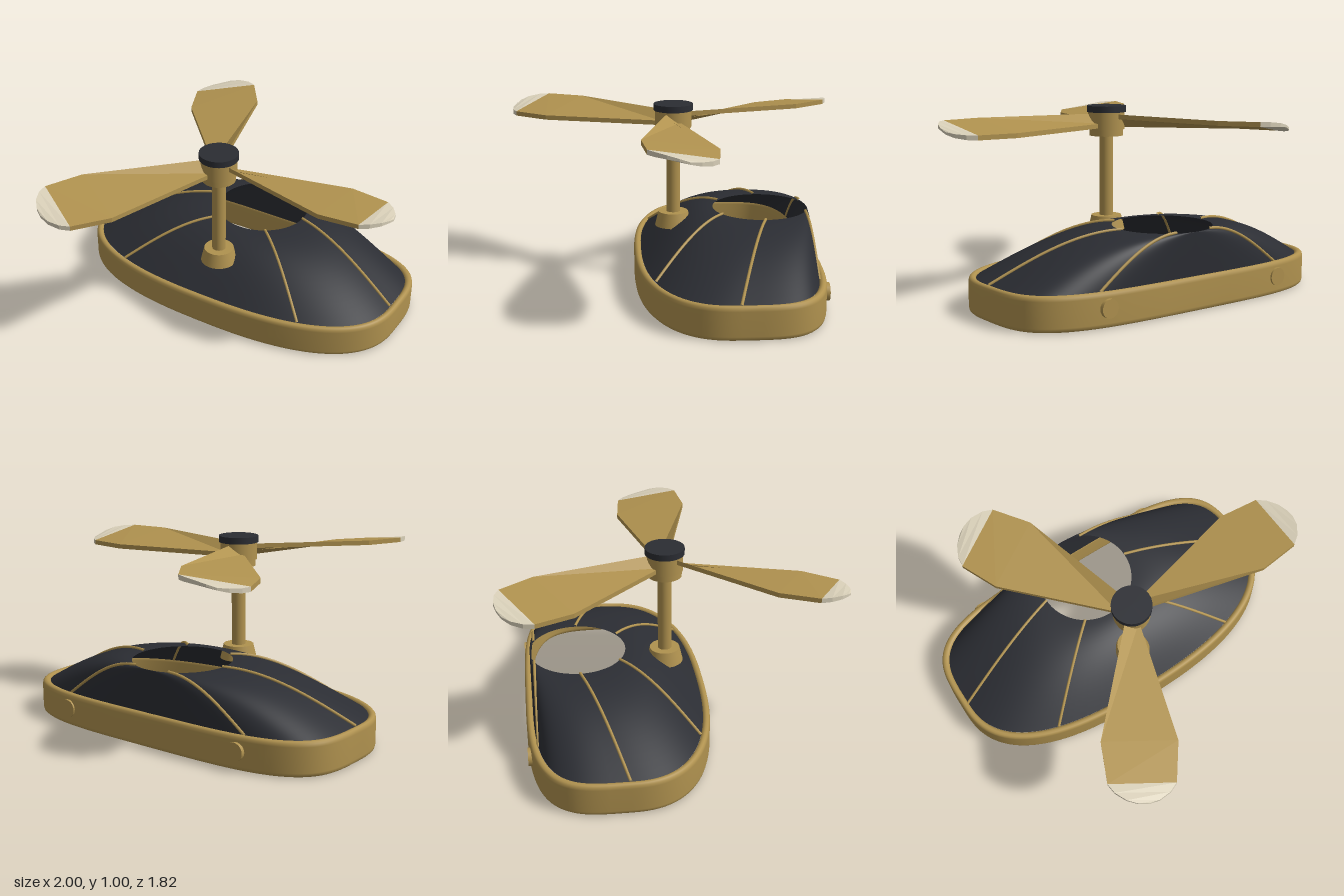
import * as THREE from 'three';

const AXIS_X = -0.02, CENTRE_Z = -0.285;
const gold = new THREE.MeshStandardMaterial({ color: 0xb0924f });
const goldFlat = new THREE.MeshStandardMaterial({ color: 0xb0924f, flatShading: true });
const ivoryFlat = new THREE.MeshStandardMaterial({ color: 0xd8cfb8, flatShading: true });
const dark = new THREE.MeshStandardMaterial({ color: 0x2b2d33 });
const darkShell = new THREE.MeshStandardMaterial({ color: 0x2b2d33, side: THREE.DoubleSide });

// Surface closed around u, running along v; point(i, j) returns [x, y, z]
function loopSurface(nu, nv, point) {
  const pos = [], idx = [];
  for (let j = 0; j < nv; j++) for (let i = 0; i < nu; i++) pos.push(...point(i, j));
  for (let j = 0; j < nv - 1; j++) {
    for (let i = 0; i < nu; i++) {
      const k = (i + 1) % nu;
      const a = j * nu + i, b = a + nu, c = j * nu + k, d = c + nu;
      idx.push(a, b, c, c, b, d);
    }
  }
  const g = new THREE.BufferGeometry();
  g.setAttribute('position', new THREE.Float32BufferAttribute(pos, 3));
  g.setIndex(idx);
  g.computeVertexNormals();
  return g;
}

// Rounded plan of the base: soft curve in front (+z), squarer at the back
function outline(angle, inset) {
  const c = Math.cos(angle), s = Math.sin(angle);
  const e = 2 / (s > 0 ? 2.5 : 3.8);
  return [
    AXIS_X + (0.98 - inset) * Math.sign(c) * Math.abs(c) ** e,
    CENTRE_Z + (0.505 - inset) * Math.sign(s) * Math.abs(s) ** e,
  ];
}

// Dome surface: t = 0 on the base ring, t = 1 on the round opening
function domePoint(angle, t) {
  const [x, z] = outline(angle, 0.038);
  const hx = AXIS_X + 0.265 * Math.cos(angle), hz = -0.487 + 0.265 * Math.sin(angle);
  return [x + (hx - x) * t, 0.17 + 0.235 * Math.sin(t * Math.PI / 2), z + (hz - z) * t];
}

// Stations are [distance, back edge z, front edge z, pitch, half thickness]
function bladeGeometry(stations) {
  const ends = [stations[0], ...stations, stations[stations.length - 1]];
  return loopSurface(4, ends.length, (i, j) => {
    const [x, z0, z1, pitch, h] = ends[j];
    const capped = j === 0 || j === ends.length - 1;
    if (capped) return [x, 0, (z0 + z1) / 2];
    const front = i === 0 || i === 3;
    return [x, (front ? pitch : -pitch) + (i < 2 ? h : -h), front ? z1 : z0];
  });
}

export function createModel() {
  const model = new THREE.Group();
  const add = (name, geometry, material, parent = model) => {
    const mesh = new THREE.Mesh(geometry, material);
    mesh.name = name;
    parent.add(mesh);
    return mesh;
  };
  const turned = (name, rTop, rBottom, y0, y1, material) => {
    const mesh = add(name, new THREE.CylinderGeometry(rTop, rBottom, y1 - y0, 32), material);
    mesh.position.set(AXIS_X, (y0 + y1) / 2, 0);
    return mesh;
  };

  // Base ring with eased edges
  const ring = [
    [0.02, 0], [0.01, 0.003], [0.003, 0.01], [0, 0.025], [0, 0.155], [0.003, 0.17], [0.01, 0.178],
    [0.02, 0.181], [0.03, 0.178], [0.037, 0.17], [0.04, 0.155], [0.04, 0.025], [0.037, 0.01], [0.03, 0.003], [0.02, 0],
  ];
  const around = 120;
  add('baseRing', loopSurface(around, ring.length, (i, j) => {
    const [x, z] = outline(i / around * Math.PI * 2, ring[j][0]);
    return [x, ring[j][1], z];
  }), gold);

  // Dome shell with an open top
  add('domeShell', loopSurface(around, 17, (i, j) => domePoint(i / around * Math.PI * 2, j / 16)), darkShell);

  // Ribs over the dome
  for (const degrees of [0, 57, 123, 180, -66, -114]) {
    const points = [];
    for (let k = 0; k <= 8; k++) {
      const p = new THREE.Vector3(...domePoint(degrees * Math.PI / 180, k / 8));
      p.y += 0.004;
      points.push(p);
    }
    add('rib', new THREE.TubeGeometry(new THREE.CatmullRomCurve3(points), 24, 0.008, 8), gold);
  }

  // Studs on the back of the ring
  for (const side of [-1, 1]) {
    const stud = add('backStud', new THREE.CylinderGeometry(0.048, 0.048, 0.03, 24), gold);
    stud.rotation.x = Math.PI / 2;
    stud.position.set(AXIS_X + side * 0.565, 0.1, -0.772);
  }

  // Mast and hub
  turned('mastSocket', 0.083, 0.102, 0.31, 0.39, gold);
  turned('mast', 0.038, 0.038, 0.35, 0.85, gold);
  turned('hubCollar', 0.093, 0.093, 0.835, 0.875, gold);
  turned('hub', 0.1, 0.1, 0.87, 0.965, gold);
  turned('hubCap', 0.108, 0.108, 0.965, 1.0, dark);

  // Three pitched blades with pale tips
  const bladeBody = bladeGeometry([
    [0.06, -0.035, 0.035, 0.025, 0.0125], [0.705, -0.195, 0.195, 0.025, 0.0125], [0.92, -0.172, 0.172, 0.025, 0.0125],
  ]);
  const bladeTip = bladeGeometry([
    [0.92, -0.172, 0.172, 0.025, 0.0125], [0.965, -0.138, 0.138, 0.024, 0.012],
    [1.003, -0.082, 0.082, 0.018, 0.01], [1.02, -0.025, 0.025, 0.008, 0.006],
  ]);
  for (let k = 0; k < 3; k++) {
    const blade = new THREE.Group();
    blade.name = 'rotorBlade';
    blade.position.set(AXIS_X, 0.917, 0);
    blade.rotation.y = k * Math.PI * 2 / 3;
    add('bladeBody', bladeBody, goldFlat, blade);
    add('bladeTip', bladeTip, ivoryFlat, blade);
    model.add(blade);
  }
  return model;
}
